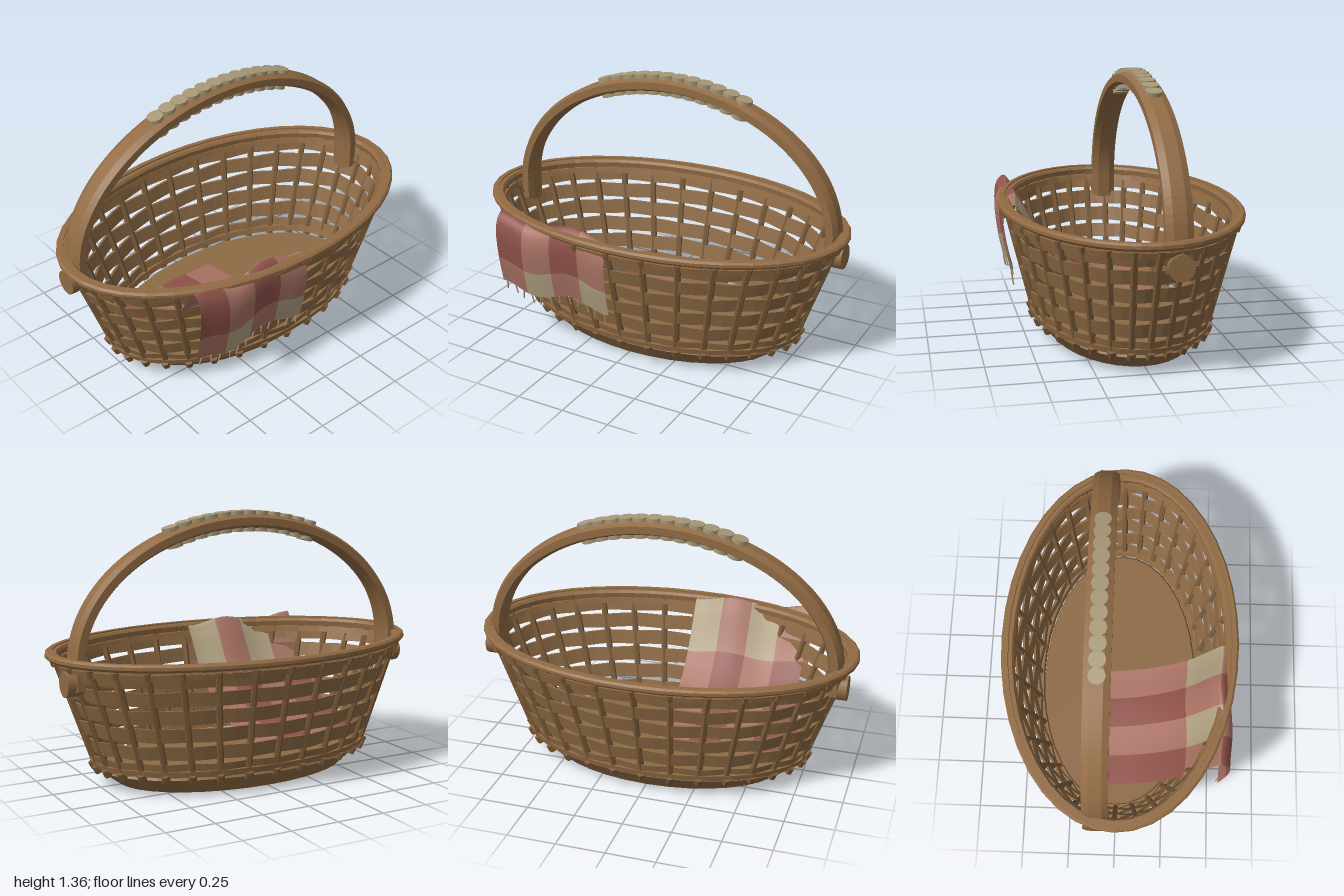
import * as THREE from 'three';
import { ParametricGeometry } from 'three/addons/geometries/ParametricGeometry.js';

const mat = (name, color, extra = {}) => {
  const m = new THREE.MeshStandardMaterial({ color, ...extra });
  m.name = name;
  return m;
};

const STAKES = 32;

// half-width (x) and half-depth (z) of the flaring wall at height y
const wall = (y) => {
  const t = (y - 0.1) / 0.55;
  return [0.755 + 0.195 * t, 0.44 + 0.135 * t];
};

// sweeps a closed section of [halfX, halfZ, y] points round an oval, with an optional in-and-out weave
function ovalRing(section, segs, wave = () => 0) {
  const pos = [], idx = [], n = section.length;
  for (let i = 0; i < segs; i++) {
    const t = (i / segs) * Math.PI * 2, w = wave(t);
    for (const [a, b, y] of section) pos.push((a + w) * Math.cos(t), y, (b + w) * Math.sin(t));
  }
  for (let i = 0; i < segs; i++) {
    const i2 = (i + 1) % segs;
    for (let j = 0; j < n; j++) {
      const j2 = (j + 1) % n;
      const a = i * n + j, b = i * n + j2, c = i2 * n + j, d = i2 * n + j2;
      idx.push(a, b, c, b, d, c);
    }
  }
  const g = new THREE.BufferGeometry();
  g.setAttribute('position', new THREE.Float32BufferAttribute(pos, 3));
  g.setIndex(idx);
  const flat = g.toNonIndexed();
  flat.computeVertexNormals();
  return flat;
}

// flat strip following the wall from y0 to y1, between two offsets from it
const strip = (y0, y1, inner, outer) => {
  const [a0, b0] = wall(y0), [a1, b1] = wall(y1);
  return [[a0 + inner, b0 + inner, y0], [a0 + outer, b0 + outer, y0],
    [a1 + outer, b1 + outer, y1], [a1 + inner, b1 + inner, y1]];
};

// six-sided rod between two points
function rod(p, q, r) {
  const d = q.clone().sub(p);
  const g = new THREE.CylinderGeometry(r, r, d.length(), 6).toNonIndexed();
  g.computeVertexNormals();
  g.applyQuaternion(new THREE.Quaternion().setFromUnitVectors(new THREE.Vector3(0, 1, 0), d.normalize()));
  const c = p.clone().add(q).multiplyScalar(0.5);
  return g.translate(c.x, c.y, c.z);
}

export function createModel() {
  const model = new THREE.Group();
  model.name = 'basket';
  const wicker = mat('wicker', 0x8d6a45);
  const stakeWood = mat('stake wood', 0x7c5c3a);
  const rimWood = mat('rim wood', 0x916b44);
  const cord = mat('cord', 0xa89878);
  const cream = mat('cloth cream', 0xaf9f80, { side: THREE.DoubleSide });
  const pink = mat('cloth pink', 0xa87264, { side: THREE.DoubleSide });
  const red = mat('cloth red', 0x8f5249, { side: THREE.DoubleSide });

  const add = (name, geo, material, parent = model) => {
    const m = new THREE.Mesh(geo, material);
    m.name = name;
    parent.add(m);
    return m;
  };
  const group = (name) => {
    const g = new THREE.Group();
    g.name = name;
    model.add(g);
    return g;
  };

  // solid tapered base with the floor on top
  add('base', ovalRing([[0, 0, 0], [0.64, 0.37, 0], [0.745, 0.425, 0.08], [0.73, 0.415, 0.095], [0, 0, 0.095]], 36), wicker);

  // woven bands
  const bands = group('wovenBands');
  for (let k = 0; k < 6; k++) {
    const y = 0.1 + k * 0.094;
    add('wovenBand', ovalRing(strip(y, y + 0.072, -0.006, 0.006), STAKES * 2,
      (t) => 0.009 * Math.cos((STAKES / 2) * t + k * Math.PI)), wicker, bands);
  }

  // upright stakes with knobs at the foot and under the rim
  const stakes = group('stakes');
  for (let i = 0; i < STAKES; i++) {
    const t = (i / STAKES) * Math.PI * 2;
    const at = (y, out = 0) => {
      const [a, b] = wall(y);
      return new THREE.Vector3((a + out) * Math.cos(t), y, (b + out) * Math.sin(t));
    };
    add('stake', rod(at(0.09), at(0.67), 0.017), stakeWood, stakes);
    add('stakeFoot', rod(at(0.08, 0.008), at(0.115, 0.014), 0.021), stakeWood, stakes);
    add('stakeTie', rod(at(0.615, 0.012), at(0.65, 0.012), 0.017), stakeWood, stakes);
  }

  // bindings and double rim
  add('bottomBinding', ovalRing(strip(0.105, 0.135, -0.018, 0.019), 40), rimWood);
  add('upperBinding', ovalRing(strip(0.612, 0.64, -0.016, 0.018), 40), rimWood);
  add('outerRim', ovalRing([[0.965, 0.58, 0.655], [0.99, 0.605, 0.655], [1, 0.617, 0.667],
    [1, 0.617, 0.682], [0.99, 0.607, 0.692], [0.965, 0.582, 0.692]], 40), rimWood);
  add('innerRim', ovalRing([[0.94, 0.553, 0.645], [0.967, 0.58, 0.645], [0.967, 0.58, 0.685],
    [0.945, 0.56, 0.685], [0.935, 0.55, 0.672]], 40), rimWood);

  // arched handle with bevelled edges
  const HZ = -0.095, CY = 0.65, RX = 0.9, RY = 0.655, HALF = 0.035;
  const arch = new THREE.Shape();
  arch.moveTo(RX + HALF, 0.52);
  arch.lineTo(RX + HALF, CY);
  arch.absellipse(0, CY, RX + HALF, RY + HALF, 0, Math.PI, false);
  arch.lineTo(-RX - HALF, 0.52);
  arch.lineTo(-RX + HALF, 0.52);
  arch.lineTo(-RX + HALF, CY);
  arch.absellipse(0, CY, RX - HALF, RY - HALF, Math.PI, 0, true);
  arch.lineTo(RX - HALF, 0.52);
  const handle = new THREE.ExtrudeGeometry(arch, {
    depth: 0.064, curveSegments: 28, bevelEnabled: true, bevelThickness: 0.033,
    bevelSize: 0.016, bevelOffset: -0.016, bevelSegments: 1,
  });
  add('handle', handle.translate(0, 0, HZ - 0.032), rimWood);

  // round pegs holding the handle ends
  for (const s of [-1, 1]) {
    const peg = add('handlePeg', new THREE.CylinderGeometry(0.063, 0.063, 0.07, 16), wicker);
    peg.rotation.z = Math.PI / 2;
    peg.position.set(s * 0.93, 0.565, HZ);
  }

  // cord grip along the top of the handle
  const grip = group('cordGrip');
  for (let i = 0; i < 12; i++) {
    const x = -0.385 + i * 0.07;
    const c = Math.sqrt(1 - (x / RX) ** 2);
    const wrap = add('cordWrap', new THREE.CylinderGeometry(0.043, 0.043, 0.104, 10), cord, grip);
    wrap.position.set(x, CY + RY * c, HZ);
    wrap.rotation.z = -Math.atan2(RY * x, RX * RX * c) * 0.8;
  }

  // checked cloth draped over the front rim and down into the basket
  const cloth = group('cloth');
  const drape = new THREE.CatmullRomCurve3([
    [0.545, 0.31], [0.573, 0.45], [0.585, 0.6], [0.565, 0.668], [0.53, 0.692], [0.495, 0.65],
    [0.36, 0.44], [0.2, 0.3], [0.02, 0.215], [-0.2, 0.175],
  ].map(([z, y]) => new THREE.Vector3(0, y, z)));
  const X0 = -0.655, WIDTH = 0.645;
  const clothPoint = (u, v, target) => {
    const p = drape.getPoint(v);
    const fold = Math.cos((u * WIDTH * Math.PI * 2) / 0.42);
    const fade = v < 0.56 ? 1 : Math.max(0.15, 1 - (v - 0.56) * 3);
    return target.set(X0 + u * WIDTH, p.y + 0.02 * fold * fade, p.z - 0.008 * fold * fade);
  };
  const rows = [0, 1, 4, 6, 9].map((k) => k / 9);
  const tones = [cream, pink, red];
  for (let r = 0; r < 4; r++) {
    for (let c = 0; c < 4; c++) {
      const patch = new ParametricGeometry((u, v, target) =>
        clothPoint((c + u) / 4, rows[r] + v * (rows[r + 1] - rows[r]), target), 4, 8);
      add('clothCheck', patch, tones[(r % 2) + (c % 2 === 0 ? 1 : 0)], cloth);
    }
  }

  // fringe along the hanging edge
  for (let i = 0; i < 12; i++) {
    const p = clothPoint((i + 0.5) / 12, 0, new THREE.Vector3());
    const q = p.clone().add(new THREE.Vector3(0.006 * (i % 2 ? 1 : -1), -0.045, -0.008));
    add('fringe', rod(p, q, 0.004), cream, cloth);
  }
  return model;
}
